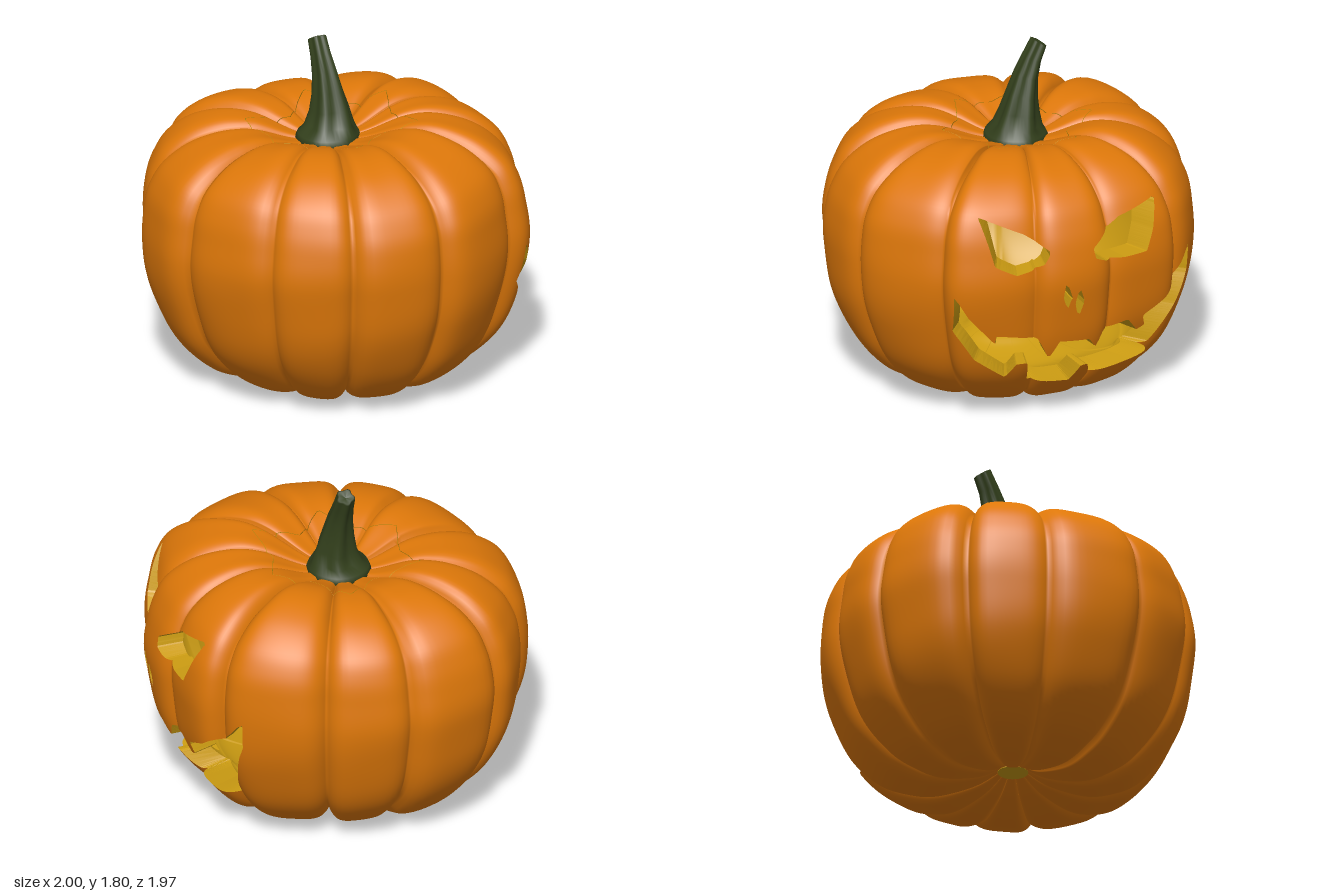
import * as THREE from 'three';
import { mergeVertices } from 'three/addons/utils/BufferGeometryUtils.js';

const mat = (color, side = THREE.FrontSide) => new THREE.MeshStandardMaterial({ color, side });
const V2 = (a) => a.map(([x, y]) => new THREE.Vector2(x, y));
const { lerp, smoothstep, clamp, degToRad } = THREE.MathUtils;
const ROWS = 115, WALL = 0.14;

// Ribs: [start angle in degrees, groove radius there, rib radius at its start, at its end]
const RIBS = [[-38.8, 0.965, 1.05, 0.985], [-12, 0.95, 0.995, 1.005], [13.6, 0.95, 0.98, 1.06],
  [42.7, 0.97, 1, 1.015], [75.7, 0.94, 0.99, 0.975], [106, 0.9, 0.955, 0.945], [133.6, 0.89, 0.935, 0.94],
  [167.3, 0.91, 0.995, 1.01], [201.7, 0.945, 0.99, 1.035], [227.3, 0.955, 1.055, 1.015], [259.6, 0.935, 0.985, 0.975],
  [287.5, 0.9, 0.975, 1.03]];

// Side profile from the bottom navel to the stem
const PROFILE = new THREE.SplineCurve(V2([[0.07, 0.115], [0.2, 0.045], [0.4, 0.005], [0.55, 0.03], [0.7, 0.105],
  [0.855, 0.28], [0.955, 0.52], [1, 0.8], [0.985, 1], [0.95, 1.13], [0.88, 1.245], [0.74, 1.345], [0.56, 1.395],
  [0.4, 1.38], [0.2, 1.295], [0.05, 1.25]])).getSpacedPoints(ROWS);

// Carved openings as (z, y) outlines
const EYE_L = [[0.5, 1.22], [0.27, 1.115], [0.15, 1.025], [0.185, 0.96], [0.24, 0.92], [0.33, 0.905], [0.44, 0.96]];
const EYE_R = [[-0.495, 1.185], [-0.26, 1.13], [-0.085, 1.01], [-0.095, 0.955], [-0.17, 0.92], [-0.28, 0.915],
  [-0.41, 0.92], [-0.455, 1.03]];
const NOSE_L = [[0.08, 0.865], [0.045, 0.765], [0.07, 0.69], [0.095, 0.77]];
const NOSE_R = [[0.005, 0.82], [-0.027, 0.73], [0.005, 0.63], [0.027, 0.725]];
const MOUTH = [[0.645, 0.8], [0.57, 0.67], [0.42, 0.5], [0.43, 0.555], [0.38, 0.55], [0.2, 0.515], [0.14, 0.395],
  [0.095, 0.5], [-0.075, 0.485], [-0.12, 0.42], [-0.16, 0.505], [-0.31, 0.54], [-0.375, 0.455], [-0.42, 0.475],
  [-0.4, 0.54], [-0.55, 0.61], [-0.68, 0.725], [-0.745, 0.82], [-0.735, 0.66], [-0.665, 0.485], [-0.535, 0.265],
  [-0.39, 0.24], [-0.14, 0.205], [-0.1, 0.305], [-0.06, 0.305], [-0.02, 0.2], [0.2, 0.225], [0.23, 0.355],
  [0.295, 0.36], [0.34, 0.275], [0.52, 0.41], [0.63, 0.58]];
const HOLES = [EYE_L, EYE_R, NOSE_L, NOSE_R, MOUTH];

// Star-shaped lid outline (x, z)
const STAR = [[0.04, -0.48], [0.195, -0.265], [0.4, -0.235], [0.34, -0.02], [0.395, 0.21], [0.14, 0.2], [0, 0.36],
  [-0.155, 0.2], [-0.36, 0.13], [-0.33, -0.06], [-0.4, -0.245], [-0.12, -0.285]];

// Signed distance to a polygon, positive outside
function distance(poly, x, y) {
  let best = Infinity, inside = false;
  poly.forEach(([ax, ay], i) => {
    const [bx, by] = poly[(i + 1) % poly.length];
    const ex = bx - ax, ey = by - ay;
    const t = clamp(((x - ax) * ex + (y - ay) * ey) / (ex * ex + ey * ey), 0, 1);
    best = Math.min(best, Math.hypot(x - ax - t * ex, y - ay - t * ey));
    if ((ay > y) !== (by > y) && x < ax + (ex * (y - ay)) / ey) inside = !inside;
  });
  return inside ? -best : best;
}

// Columns of the shell, denser on the carved side and near the grooves
function columns() {
  const cols = [];
  RIBS.forEach(([a, grooveA, start, end], i) => {
    const [next, grooveB] = RIBS[(i + 1) % RIBS.length];
    const b = next < a ? next + 360 : next;
    const n = i < 4 || i === 11 ? 32 : 16;
    for (let k = 0; k < n; k++) {
      const u = lerp(k / n, smoothstep(k / n, 0, 1), 0.5);
      const radius = lerp(start, end, smoothstep(u, 0, 1));
      const groove = (radius - (u < 0.5 ? grooveA : grooveB)) * Math.abs(2 * u - 1) ** 5;
      cols.push({ angle: degToRad(lerp(a, b, u)), radius, groove });
    }
  });
  return cols;
}

// Point on the rind, or on the inner lining
function shellPoint({ angle, radius, groove }, j, inner) {
  const p = PROFILE[j], a = PROFILE[Math.max(j - 1, 0)], b = PROFILE[Math.min(j + 1, ROWS)];
  const len = Math.hypot(b.x - a.x, b.y - a.y);
  const nx = (b.y - a.y) / len, ny = -(b.x - a.x) / len;
  const fade = Math.min(1, p.x / 0.6);
  const depth = fade * (groove + 0.006 * Math.sin(5 * p.y + 7 * angle) * Math.sin(9 * p.y - 4 * angle));
  let inX = nx * depth, inY = ny * depth;
  if (inner) {
    // the wall is cut level through the sides
    const level = smoothstep(p.y, 0.08, 0.25) * (1 - smoothstep(p.y, 1.2, 1.33));
    inX = lerp(nx * WALL, WALL / Math.max(nx, 0.6), level);
    inY = lerp(ny * WALL, ny * depth, level);
  }
  const r = Math.max(0.01, p.x * radius - inX);
  // uneven shoulder height around the fruit
  const lift = 0.018 * Math.cos(angle - 0.7) + 0.007 * Math.cos(4 * (angle - 0.8)) - 0.014;
  const y = (p.y - inY) * (1 + Math.min(1, 2 * p.x) * lift);
  const shift = p.y > 0.8 ? -0.06 * (1 - p.x) : 0;
  return new THREE.Vector3(r * Math.cos(angle), y, r * Math.sin(angle) + shift);
}

function geometry(points) {
  const g = mergeVertices(new THREE.BufferGeometry().setFromPoints(points), 1e-5);
  g.computeVertexNormals();
  return g;
}

// Rind, inner lining and cut walls, kept where field(point) > 0
function carvedShell(grid, field, name, rind, flesh) {
  const outer = [], inner = [], walls = [];
  grid.forEach((col) => col.forEach((v) => { v.d = field(v.p); }));
  const clip = (tri) => {
    const poly = [], cut = [];
    tri.forEach((a, k) => {
      const b = tri[(k + 1) % 3];
      if (a.d > 0) poly.push(a);
      if ((a.d > 0) !== (b.d > 0)) {
        const t = a.d / (a.d - b.d);
        const c = { p: a.p.clone().lerp(b.p, t), q: a.q.clone().lerp(b.q, t) };
        poly.push(c);
        cut.push(c);
      }
    });
    for (let k = 2; k < poly.length; k++) {
      outer.push(poly[0].p, poly[k - 1].p, poly[k].p);
      inner.push(poly[0].q, poly[k].q, poly[k - 1].q);
    }
    if (cut.length === 2) {
      const [a, b] = cut;
      walls.push(a.p, b.p, b.q, a.p, b.q, a.q);
    }
  };
  grid.forEach((c, i) => {
    const n = grid[(i + 1) % grid.length];
    for (let j = 0; j < ROWS; j++) {
      clip([c[j], c[j + 1], n[j + 1]]);
      clip([c[j], n[j + 1], n[j]]);
    }
  });
  const group = new THREE.Group();
  group.name = name;
  const wallGeometry = new THREE.BufferGeometry().setFromPoints(walls);
  wallGeometry.computeVertexNormals();
  [[geometry(outer), rind, 'Rind'], [geometry(inner), flesh, 'Lining'], [wallGeometry, flesh, 'CutWalls']]
    .forEach(([g, m, part]) => {
      const mesh = new THREE.Mesh(g, m);
      mesh.name = name + part;
      group.add(mesh);
    });
  return group;
}

// Ridged, leaning stem from cross-section loops: [x, y, z, radius, tilt]
function stemGeometry() {
  const loops = [[0, 1.22, -0.06, 0.15, 0], [0, 1.265, -0.06, 0.172, 0], [0, 1.295, -0.06, 0.16, 0.02],
    [0.012, 1.335, -0.065, 0.122, 0.08], [0.018, 1.41, -0.075, 0.1, 0.15], [0.014, 1.5, -0.092, 0.08, 0.28],
    [0.008, 1.6, -0.117, 0.063, 0.36], [0, 1.69, -0.154, 0.051, 0.45], [-0.004, 1.772, -0.196, 0.046, 0.6],
    [-0.004, 1.775, -0.198, 0.038, 0.6], [-0.004, 1.768, -0.194, 0.001, 0.6]];
  const N = 40, pos = [], idx = [];
  loops.forEach(([x, y, z, r, tilt], j) => {
    for (let i = 0; i < N; i++) {
      const a = (i / N) * Math.PI * 2;
      const ridge = j < 3 ? 0.01 : 0.12;
      const k = r * (1 + ridge * Math.cos(5 * a + j * 0.25));
      const lx = k * Math.cos(a), lz = k * Math.sin(a);
      pos.push(x + lx, y + lz * Math.sin(tilt), z + lz * Math.cos(tilt));
      if (j) {
        const n = (i + 1) % N, p = (j - 1) * N, q = j * N;
        idx.push(p + i, q + i, q + n, p + i, q + n, p + n);
      }
    }
  });
  const g = new THREE.BufferGeometry();
  g.setAttribute('position', new THREE.Float32BufferAttribute(pos, 3));
  g.setIndex(idx);
  g.computeVertexNormals();
  return g;
}

export function createModel() {
  const model = new THREE.Group();
  model.name = 'carvedPumpkin';
  const rind = mat(0xdd7709), flesh = mat(0xcc9c12, THREE.DoubleSide);
  const grid = columns().map((c) => Array.from({ length: ROWS + 1 }, (_, j) =>
    ({ p: shellPoint(c, j, false), q: shellPoint(c, j, true) })));

  const star = (p) => (p.y > 1 ? distance(STAR, p.x, p.z) : 1);
  const face = (p) => (p.x > 0.3 ? Math.min(...HOLES.map((h) => distance(h, p.z, p.y))) : 1);
  model.add(carvedShell(grid, (p) => Math.min(star(p) - 0.0015, face(p)), 'body', rind, flesh));
  model.add(carvedShell(grid, (p) => -star(p) - 0.0015, 'lid', rind, flesh));

  const add = (g, m, name, y, z) => {
    const mesh = new THREE.Mesh(g, m);
    mesh.name = name;
    mesh.position.set(0, y, z);
    model.add(mesh);
  };
  // Navel plug, stem, candle and flame
  add(new THREE.CylinderGeometry(0.08, 0.08, 0.08, 24), flesh, 'navel', 0.145, 0);
  add(stemGeometry(), mat(0x33401c), 'stem', 0, 0);
  add(new THREE.CylinderGeometry(0.185, 0.185, 0.24, 40), mat(0x6e1a2c), 'candle', 0.265, -0.07);
  const flame = V2([[0, 0], [0.03, 0.012], [0.044, 0.04], [0.036, 0.075], [0.015, 0.1], [0, 0.115]]);
  add(new THREE.LatheGeometry(new THREE.SplineCurve(flame).getPoints(16), 20), mat(0xdddddd), 'flame', 0.38, -0.07);
  return model;
}
